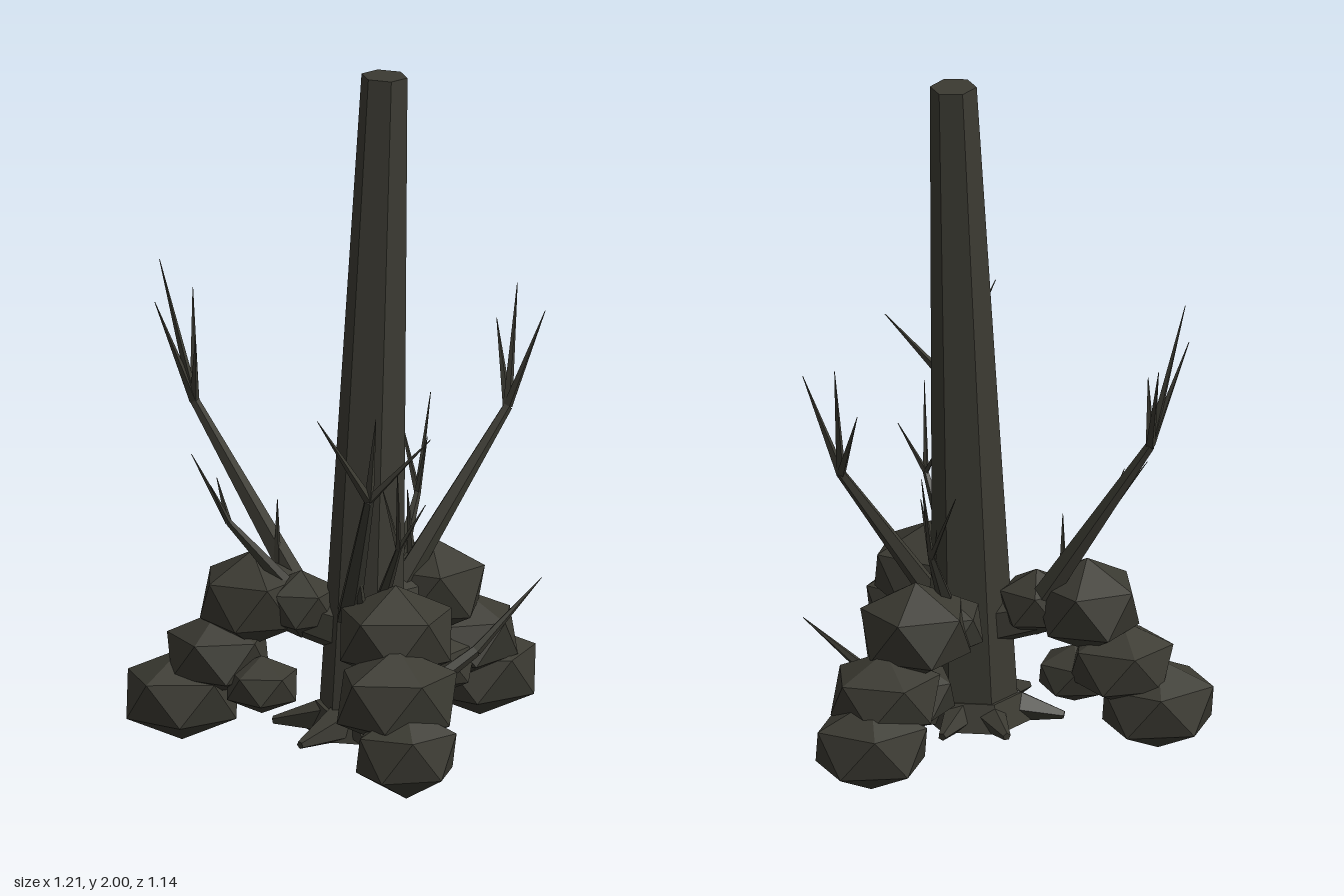
import * as THREE from 'three';

const V = (p) => new THREE.Vector3(...p);

export function createModel() {
  const model = new THREE.Group();
  const bark = new THREE.MeshStandardMaterial({ color: 0x3b3a32 });
  bark.name = 'bark';

  const add = (name, geometry, parent = model) => {
    const flat = geometry.index ? geometry.toNonIndexed() : geometry;
    flat.computeVertexNormals();
    const mesh = new THREE.Mesh(flat, bark);
    mesh.name = name;
    parent.add(mesh);
    return mesh;
  };

  // Tapered straight piece between two points
  const limb = (name, a, b, ra, rb, sides, parent) => {
    const from = V(a), dir = V(b).sub(from);
    const g = new THREE.CylinderGeometry(rb, ra, dir.length(), sides);
    g.translate(0, dir.length() / 2, 0);
    const mesh = add(name, g, parent);
    mesh.position.copy(from);
    mesh.quaternion.setFromUnitVectors(new THREE.Vector3(0, 1, 0), dir.normalize());
    return mesh;
  };

  // Faceted clump standing on one corner, slightly flattened
  const clump = (name, x, y, z, rx, ry, rz, turn) => {
    const g = new THREE.IcosahedronGeometry(1, 0);
    g.rotateZ(0.5536);
    g.rotateY(turn);
    g.scale(rx, ry, rz);
    add(name, g).position.set(x, y, z);
  };

  // Trunk and flared foot
  limb('trunk', [0.002, 0.07, -0.02], [0.078, 1.998, -0.036], 0.124, 0.067, 6);
  const foot = new THREE.CylinderGeometry(0.13, 0.16, 0.08, 6);
  add('trunkFoot', foot).position.set(0, 0.11, -0.02);

  // Clumps: front, back right and back left
  const clumps = [
    ['front', 0.025, 0.43, 0.25, 0.185, 0.145, 0.18, Math.PI],
    ['front', -0.01, 0.28, 0.375, 0.195, 0.15, 0.16, 0.5],
    ['front', -0.005, 0.138, 0.45, 0.165, 0.135, 0.135, 0.2],
    ['front', 0.02, 0.215, 0.24, 0.12, 0.095, 0.095, 0.9],
    ['right', -0.265, 0.435, -0.2, 0.165, 0.14, 0.175, 0.3],
    ['right', -0.35, 0.265, -0.25, 0.165, 0.125, 0.165, 0.8],
    ['right', -0.445, 0.14, -0.29, 0.185, 0.135, 0.17, Math.PI],
    ['right', -0.26, 0.2, -0.12, 0.115, 0.085, 0.12, 0.6],
    ['right', -0.145, 0.43, -0.115, 0.12, 0.1, 0.12, 0.5],
    ['left', 0.26, 0.43, -0.19, 0.175, 0.145, 0.18, 0.2],
    ['left', 0.37, 0.265, -0.23, 0.175, 0.13, 0.17, 0.9],
    ['left', 0.435, 0.14, -0.28, 0.185, 0.135, 0.17, Math.PI],
    ['left', 0.25, 0.22, -0.14, 0.14, 0.105, 0.13, 0.4],
    ['left', 0.16, 0.42, -0.16, 0.125, 0.1, 0.13, 0.1],
  ];
  for (const [side, ...c] of clumps) clump(side + 'Clump', ...c);

  // Arms holding the clumps
  [[0.02, 0.43, 0.2], [-0.24, 0.43, -0.18], [0.24, 0.43, -0.18]].forEach((end) =>
    limb('clumpArm', [0.01, 0.36, -0.02], end, 0.08, 0.06, 6));

  // Branches: base, fork, base radius, twig tips
  const branches = [
    [[-0.13, 0.45, -0.17], [-0.375, 0.97, -0.4], 0.036,
      [[-0.47, 1.39, -0.43], [-0.33, 1.255, -0.565], [-0.49, 1.27, -0.41], [-0.385, 1.16, -0.36]]],
    [[-0.075, 0.45, 0.11], [-0.12, 0.9, 0.465], 0.036,
      [[-0.29, 1.165, 0.52], [0.035, 1.095, 0.56], [-0.11, 1.15, 0.5]]],
    [[0.14, 0.45, -0.11], [0.49, 0.94, -0.19], 0.036,
      [[0.54, 1.28, -0.26], [0.585, 1.23, -0.135], [0.5, 1.16, -0.33]]],
    [[-0.18, 0.48, -0.13], [-0.35, 0.68, -0.15], 0.025,
      [[-0.43, 0.86, -0.25], [-0.41, 0.8, -0.13], [-0.37, 0.8, -0.2]]],
    [[0.0, 0.5, 0.18], [0.015, 0.7, 0.31], 0.022,
      [[-0.01, 0.95, 0.38], [0.08, 0.84, 0.36], [0.0, 0.85, 0.2]]],
    [[0.15, 0.48, -0.16], [0.25, 0.68, -0.28], 0.025,
      [[0.23, 0.9, -0.41], [0.31, 0.95, -0.35], [0.27, 0.85, -0.25]]],
  ];
  for (const [base, fork, r, tips] of branches) {
    const branch = new THREE.Group();
    branch.name = 'branch';
    model.add(branch);
    limb('branchStem', base, fork, r, r * 0.4, 5, branch);
    for (const tip of tips) limb('twig', fork, tip, r * 0.4, 0.001, 4, branch);
  }

  // Small thorns on the clumps
  [[[-0.19, 0.5, -0.2], [-0.19, 0.72, -0.2]], [[0.2, 0.5, -0.17], [0.19, 0.72, -0.18]],
    [[-0.06, 0.5, 0.2], [-0.1, 0.7, 0.27]]].forEach(([a, b]) =>
    limb('thorn', a, b, 0.014, 0.001, 4));

  // Long bent side root
  limb('sideRoot', [0.08, 0.1, -0.02], [0.35, 0.27, -0.04], 0.03, 0.017, 5);
  limb('sideRootTip', [0.35, 0.27, -0.04], [0.55, 0.465, -0.055], 0.017, 0.001, 5);

  // Root spikes around the foot
  [[-0.22, 0.12], [0.0, -0.24], [0.24, -0.03], [0.14, 0.12], [-0.22, -0.14], [0.17, -0.17], [-0.04, 0.2]]
    .forEach(([x, z]) => limb('root', [x * 0.3, 0.115, z * 0.3], [x, 0.085, z], 0.06, 0.012, 5));

  return model;
}
